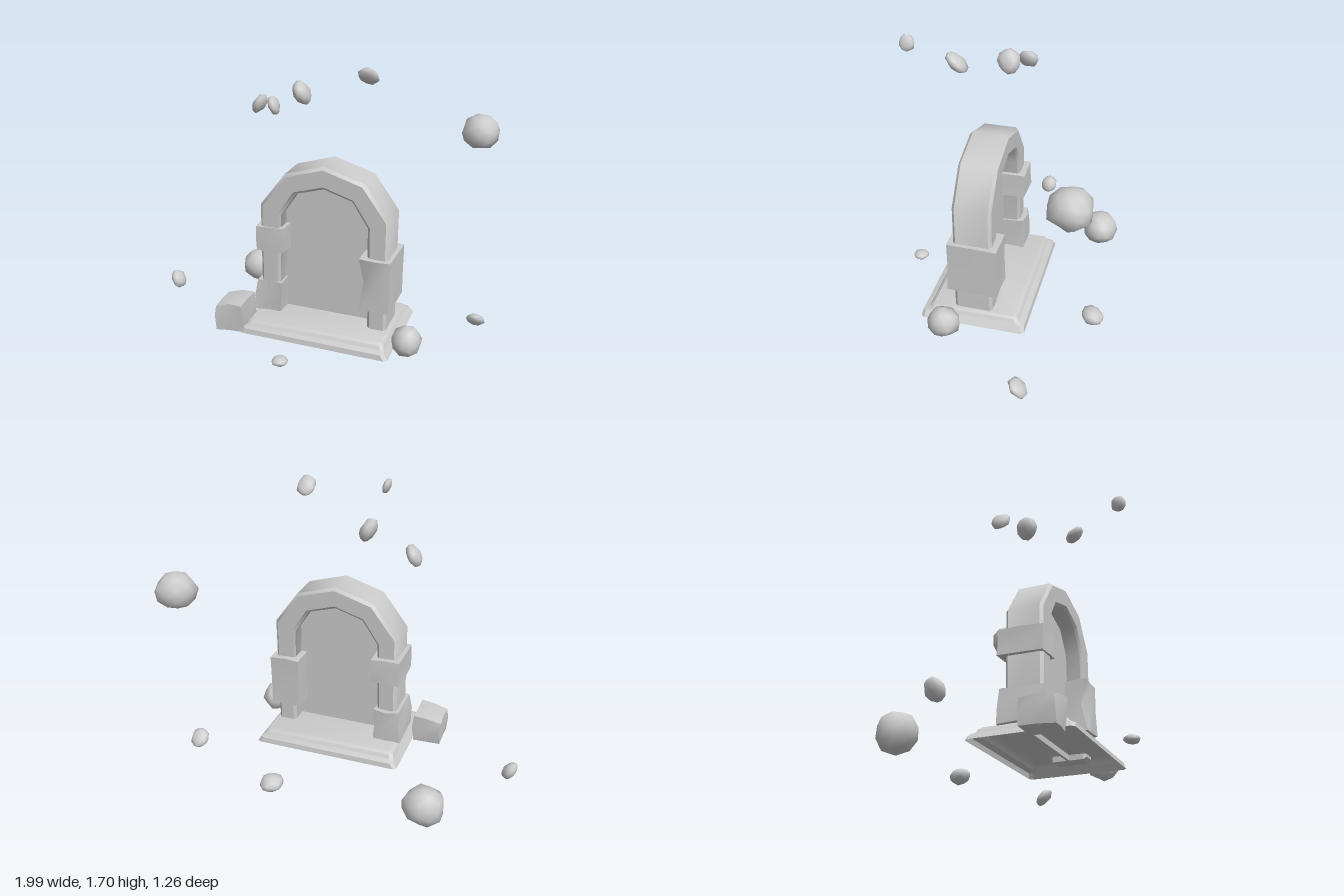
import * as THREE from 'three';
import { mergeVertices, toCreasedNormals } from 'three/addons/utils/BufferGeometryUtils.js';

const grey = new THREE.MeshStandardMaterial({ color: 0xcccccc });
const greyTwoSided = new THREE.MeshStandardMaterial({ color: 0xcccccc, side: THREE.DoubleSide });

// Repeatable noise in -1..1
const noise = (a, b, c, seed) => {
  const s = Math.sin(a * 12.99 + b * 78.23 + c * 37.72 + seed * 4.13) * 43758.545;
  return 2 * (s - Math.floor(s)) - 1;
};

function weld(geometry) {
  geometry.deleteAttribute('normal');
  geometry.deleteAttribute('uv');
  return mergeVertices(geometry, 1e-4);
}

// Moves every vertex by a rule
function reshape(geometry, rule) {
  const pos = geometry.attributes.position;
  const v = new THREE.Vector3();
  for (let i = 0; i < pos.count; i++) {
    v.fromBufferAttribute(pos, i);
    rule(v);
    pos.setXYZ(i, v.x, v.y, v.z);
  }
  return geometry;
}

function mesh(name, geometry, material = grey) {
  const m = new THREE.Mesh(geometry, material);
  m.name = name;
  return m;
}

// Lumpy smooth boulder: centre, half sizes, rotation
function rock(name, seed, centre, radii, rotation = [0, 0, 0]) {
  const g = reshape(weld(new THREE.IcosahedronGeometry(1, 1)), v => {
    const r = n => Math.round(n * 100) / 100;
    v.multiplyScalar(1 + 0.09 * noise(r(v.x), r(v.y), r(v.z), seed));
  });
  g.scale(...radii);
  g.computeVertexNormals();
  const m = mesh(name, g);
  m.position.set(...centre);
  m.rotation.set(...rotation);
  return m;
}

// Rough-cut stone block between two corners; dent shapes the unit block further
function block(name, seed, min, max, rough, dent = () => {}) {
  const size = max.map((m, i) => m - min[i]);
  const g = reshape(weld(new THREE.BoxGeometry(2, 2, 2, 2, 2, 2)), v => {
    const { x, y, z } = v;
    v.x -= Math.abs(noise(x, y, z, seed)) * rough * x;
    v.y -= Math.abs(noise(x, y, z, seed + 1)) * rough * y;
    v.z -= Math.abs(noise(x, y, z, seed + 2)) * rough * z;
    dent(v, x, y, z);
  });
  g.scale(size[0] / 2, size[1] / 2, size[2] / 2);
  const m = mesh(name, toCreasedNormals(g, 0.75));
  m.position.set(...min.map((n, i) => n + size[i] / 2));
  return m;
}

// Moulded plinth, open underneath, lofted from chamfered rectangles
function plinth() {
  const rings = [[0.12, 0, 0], [0.15, 0.022, 0.006], [0.163, 0.034, 0.04], [0.182, 0.042, 0.052], [0.193, 0.055, 0.068]];
  const points = [], index = [];
  for (const [y, dx, dz] of rings) {
    const x0 = -0.32 + dx, x1 = 0.575 - dx, z0 = -0.22 + dz, z1 = 0.39 - dz, c = 0.018;
    for (const [x, z] of [[x0 + c, z1], [x1 - c, z1], [x1, z1 - c], [x1, z0 + c],
      [x1 - c, z0], [x0 + c, z0], [x0, z0 + c], [x0, z1 - c]]) points.push(x, y, z);
  }
  for (let r = 0; r < rings.length - 1; r++) {
    for (let i = 0; i < 8; i++) {
      const a = r * 8 + i, b = r * 8 + (i + 1) % 8;
      index.push(a, b, b + 8, a, b + 8, a + 8);
    }
  }
  const top = (rings.length - 1) * 8;
  for (let i = 1; i < 7; i++) index.push(top, top + i, top + i + 1);
  const g = new THREE.BufferGeometry();
  g.setAttribute('position', new THREE.Float32BufferAttribute(points, 3));
  g.setIndex(index);
  return mesh('plinth', toCreasedNormals(g, 0.6), greyTwoSided);
}

export function createModel() {
  const model = new THREE.Group();
  model.name = 'ruinedGateway';
  model.add(plinth());

  // Arch: outer and inner outlines extruded with a soft bevel
  const toVectors = list => list.map(([x, y]) => new THREE.Vector2(x, y));
  const outer = [[-0.25, 0.16], [-0.25, 0.86], [-0.1, 1.06], [0.13, 1.13], [0.365, 1.06], [0.51, 0.86], [0.51, 0.16]];
  const inner = [[0.4, 0.16], [0.387, 0.81], [0.295, 0.95], [0.13, 1.0], [-0.035, 0.95], [-0.127, 0.81], [-0.135, 0.16]];
  const bevel = 0.016;
  const archGeometry = new THREE.ExtrudeGeometry(new THREE.Shape(toVectors([...outer, ...inner])), {
    depth: 0.22 - 2 * bevel, bevelThickness: bevel, bevelSize: bevel, bevelOffset: -bevel, bevelSegments: 1,
  });
  archGeometry.translate(0, 0, -0.02 + bevel);
  model.add(mesh('arch', toCreasedNormals(archGeometry, 0.7)));

  // Thin panel filling the opening
  const panelShape = new THREE.Shape(toVectors(inner.map(([x, y]) => [x + (x - 0.13) * 0.06, y + (y > 0.5 ? 0.02 : 0)])));
  const panelGeometry = new THREE.ExtrudeGeometry(panelShape, { depth: 0.016, bevelEnabled: false });
  panelGeometry.translate(0, 0, 0.082);
  model.add(mesh('doorPanel', panelGeometry));

  // Rough blocks wrapped round the posts
  model.add(block('rightPostUpperBlock', 3, [-0.28, 0.58, -0.06], [-0.1, 0.735, 0.215], 0.1));
  model.add(block('rightPostLowerBlock', 8, [-0.29, 0.185, -0.055], [-0.115, 0.395, 0.215], 0.13, (v, x, y, z) => {
    if (y > 0 && x < 0) v.x += 0.15;
    if (y < 0 && z > 0 && x > 0) v.x -= 0.12;
  }));
  model.add(block('leftPostBlock', 14, [0.355, 0.315, -0.06], [0.537, 0.64, 0.235], 0.06, (v, x, y, z) => {
    if (x < 0 && y === 0 && z > 0) { v.z -= 0.25; v.x += 0.15; }
  }));

  // Stones resting against the plinth
  const slab = block('rightFallenBlock', 21, [-0.495, 0.08, 0.15], [-0.305, 0.275, 0.36], 0.17, (v, x, y) => {
    if (x < 0 && y > 0) v.y -= 0.25;
  });
  model.add(slab);
  model.add(rock('leftFallenStone', 5, [0.643, 0.178, 0.228], [0.083, 0.09, 0.096]));

  // Boulders on the ground and in the air
  const stones = [
    ['groundBoulder', [-0.56, 0.118, -0.47], [0.118, 0.112, 0.112]],
    ['floatingBoulder', [0.855, 1.212, -0.5], [0.11, 0.107, 0.112]],
    ['groundPebble', [-0.953, 0.148, -0.037], [0.037, 0.06, 0.054], [0, 0, 0.5]],
    ['groundPebble', [0.315, 0.115, -0.568], [0.066, 0.046, 0.064], [-0.25, 0, 0]],
    ['groundPebble', [0.945, 0.098, -0.28], [0.055, 0.03, 0.066], [-0.78, 0, 0]],
    ['groundPebble', [0.024, 0.122, 0.585], [0.046, 0.024, 0.046]],
    ['floatingPebble', [-0.332, 1.39, -0.02], [0.034, 0.062, 0.056], [0, 0, -0.5]],
    ['floatingPebble', [-0.058, 1.488, 0.025], [0.042, 0.068, 0.065], [0, 0, 0.45]],
    ['floatingPebble', [0.37, 1.648, 0.182], [0.055, 0.031, 0.068], [-0.75, 0, 0]],
    ['floatingPebble', [0.018, 1.567, 0.585], [0.024, 0.047, 0.046], [0, 0, 0.3]],
  ];
  stones.forEach(([name, ...rest], i) => model.add(rock(name, 30 + i * 3, ...rest)));
  return model;
}
